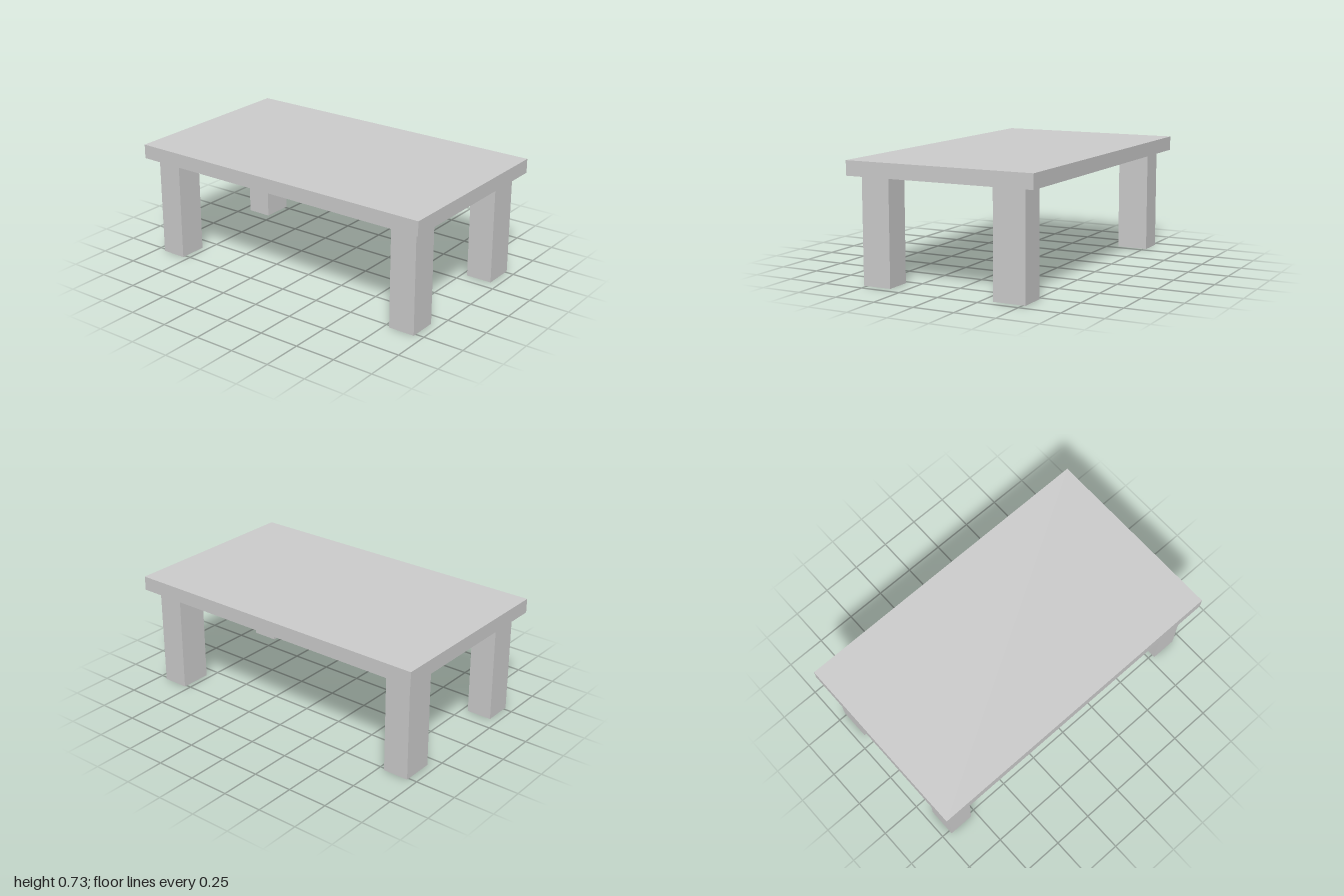
import * as THREE from 'three';

const material = new THREE.MeshStandardMaterial({ color: 0xcccccc, flatShading: true });

// Box given by its extents along each axis
function block(name, [x0, x1], [y0, y1], [z0, z1]) {
  const mesh = new THREE.Mesh(new THREE.BoxGeometry(x1 - x0, y1 - y0, z1 - z0), material);
  mesh.position.set((x0 + x1) / 2, (y0 + y1) / 2, (z0 + z1) / 2);
  mesh.name = name;
  return mesh;
}

export function createModel() {
  const table = new THREE.Group();
  table.name = 'table';

  const underside = 0.637;
  table.add(block('tableTop', [-1, 1], [underside, 0.725], [-0.59, 0.59]));

  // Four square legs; the back pair is slightly deeper
  const sides = { Left: [0.782, 0.946], Right: [-0.946, -0.787] };
  const rows = { front: [0.343, 0.521], back: [-0.516, -0.319] };
  for (const [row, z] of Object.entries(rows)) {
    for (const [side, x] of Object.entries(sides)) {
      table.add(block(`${row}${side}Leg`, x, [0, underside], z));
    }
  }
  return table;
}
